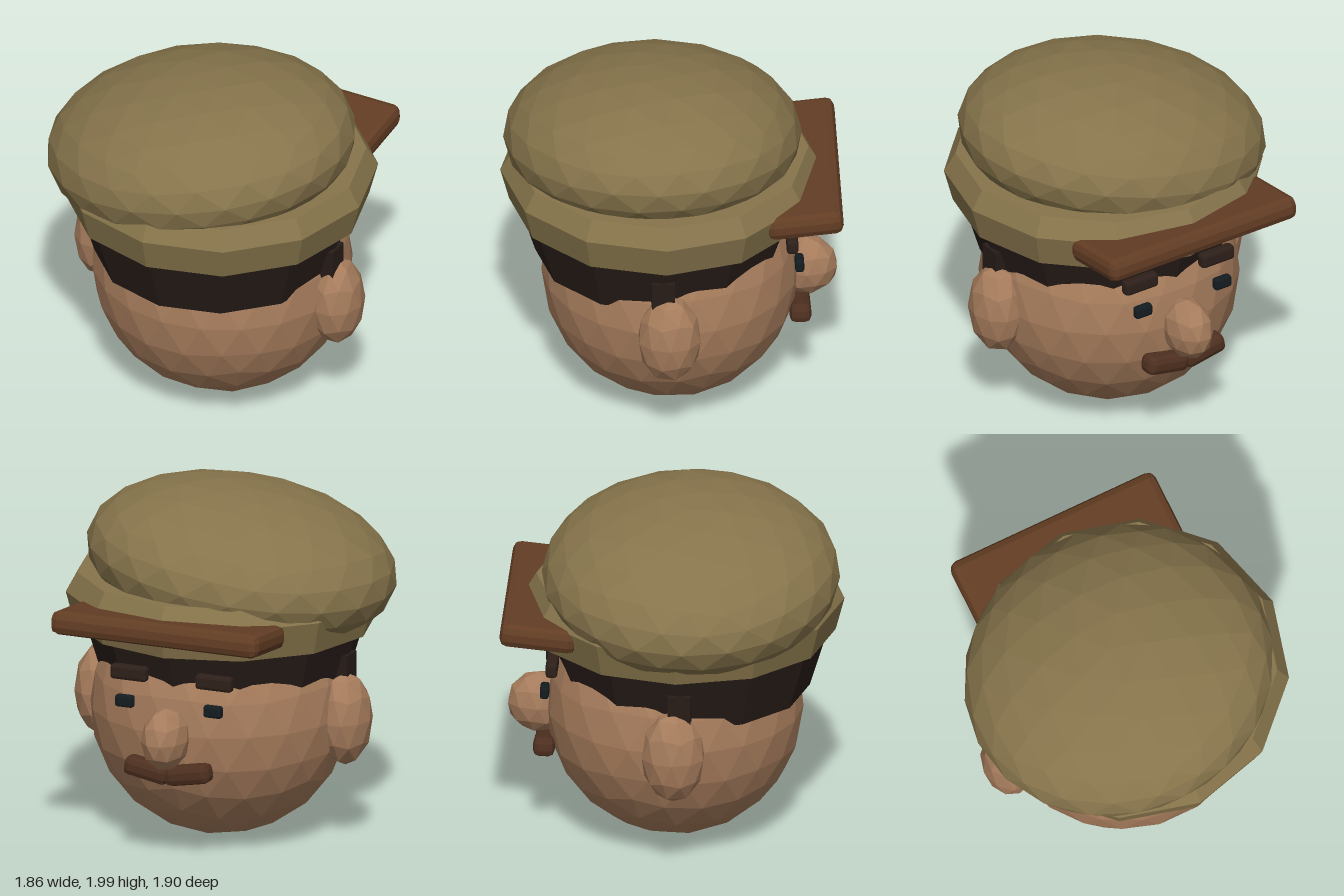
import * as THREE from 'three';
import { RoundedBoxGeometry } from 'three/addons/geometries/RoundedBoxGeometry.js';

const CX = 0.03; // the head sits slightly off centre under the tilted cap

const paint = (color) => new THREE.MeshStandardMaterial({ color, flatShading: true });
const skin = paint(0xa67c5c);
const cloth = paint(0x86744b);
const leather = paint(0x633d24);
const hairMat = paint(0x271c18);
const browMat = paint(0x2e201a);
const eyeMat = paint(0x141c20);
const moustacheMat = paint(0x4f3020);

export function createModel() {
  const group = new THREE.Group();

  function add(name, geometry, material, x, y, z, rx = 0, rz = 0) {
    const mesh = new THREE.Mesh(geometry, material);
    mesh.name = name;
    mesh.position.set(x, y, z);
    mesh.rotation.set(rx, 0, rz);
    group.add(mesh);
    return mesh;
  }

  // Faceted ellipsoid with a vertex at each pole
  function blob(rx, ry, rz, detail) {
    const g = new THREE.IcosahedronGeometry(1, detail);
    g.rotateX(-Math.atan((1 + Math.sqrt(5)) / 2));
    return g.scale(rx, ry, rz);
  }

  // Box with chamfered edges
  const bar = (w, h, d, bevel) => new RoundedBoxGeometry(w, h, d, 1, bevel);

  // Head and nose
  add('head', blob(0.735, 0.735, 0.72, 3), skin, CX, 0.74, 0);
  add('nose', blob(0.13, 0.18, 0.18, 1), skin, CX, 0.73, -0.76);

  // Hair: a tapered ring of 12 sides that sinks into the face at the front
  add('hair', new THREE.CylinderGeometry(0.795, 0.685, 0.36, 12), hairMat, CX, 1.05, 0.07);

  // Cap band, with its widest line at mid height
  const band = [[0, 1.21], [0.845, 1.21], [0.895, 1.4], [0.83, 1.51], [0, 1.51]];
  add('capBand', new THREE.LatheGeometry(band.map(([r, y]) => new THREE.Vector2(r, y)), 12),
    cloth, CX, 0, 0.055);

  // Soft crown, leaning over to one side
  add('capCrown', blob(0.885, 0.42, 0.835, 3), cloth, -0.055, 1.565, 0.095, 0, 0.15);

  // Brim, rising slightly outwards
  add('capBrim', bar(1.27, 0.135, 0.43, 0.045), leather, CX, 1.36, -0.73, 0.1);

  // Mirrored features
  for (const [side, s] of [['left', 1], ['right', -1]]) {
    add(side + 'Ear', blob(0.15, 0.27, 0.18, 1), skin, CX + s * 0.745, 0.73, 0.035);
    add(side + 'Sideburn', new THREE.BoxGeometry(0.1, 0.2, 0.13), hairMat,
      CX + s * 0.72, 1.0, 0.07);
    add(side + 'Brow', bar(0.22, 0.085, 0.065, 0.018), browMat, CX + s * 0.26, 1.065, -0.67);
    add(side + 'Eye', bar(0.11, 0.07, 0.05, 0.015), eyeMat, CX + s * 0.27, 0.91, -0.712);
    add(side + 'Moustache', bar(0.27, 0.11, 0.12, 0.035), moustacheMat,
      CX + s * 0.125, 0.53, -0.72, 0, s * 0.18);
  }

  return group;
}
